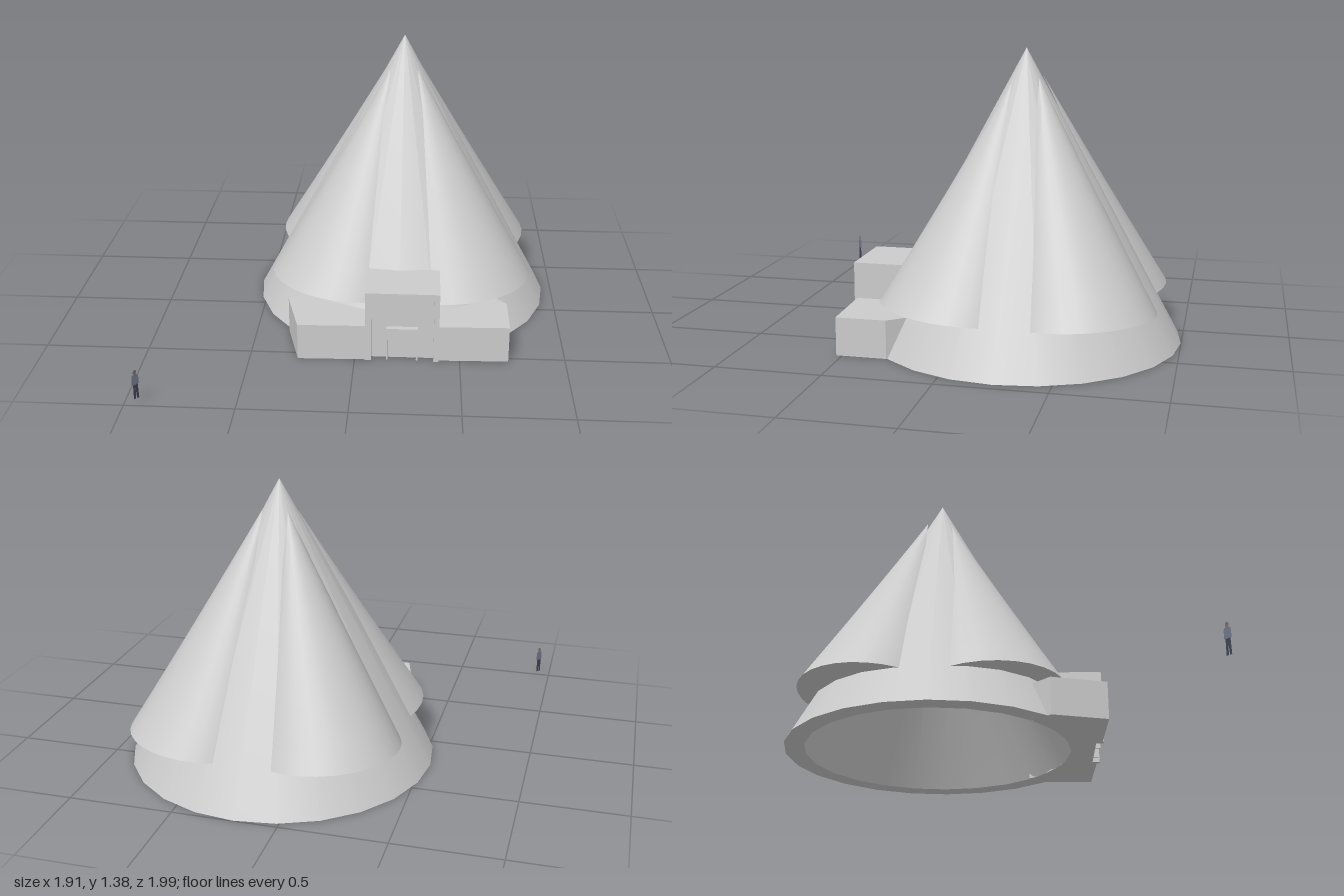
import * as THREE from 'three';
import { toCreasedNormals } from 'three/addons/utils/BufferGeometryUtils.js';

const CX = 0.205, CZ = -0.25; // centre of the big cone
const grey = new THREE.MeshStandardMaterial({ color: 0xcccccc, side: THREE.DoubleSide });

function add(parent, name, geometry, material = grey) {
  const mesh = new THREE.Mesh(geometry, material);
  mesh.name = name;
  parent.add(mesh);
  return mesh;
}

function shapeOf(points) {
  return new THREE.Shape(points.map(([x, y]) => new THREE.Vector2(x, y)));
}

function extrude(points, depth) {
  return new THREE.ExtrudeGeometry(shapeOf(points), { depth, bevelEnabled: false });
}

// Inverted U (doorway surround) standing on the ground
function archway(x0, x1, top, inX0, inX1, inTop, depth) {
  return extrude([[x0, 0], [inX0, 0], [inX0, inTop], [inX1, inTop], [inX1, 0], [x1, 0], [x1, top], [x0, top]], depth);
}

// Outer part of a cone leaning out along a diagonal, with a slightly raised
// rim; its hidden edges end inside the thickness of the main shell
function leaningCone(sx, sz) {
  const { lerp, degToRad } = THREE.MathUtils;
  const front = sz > 0;
  const radius = front ? 0.395 : 0.365;
  const base = front ? [0.26, 0.235] : [0.29, 0.29];
  const apex = front ? [0.07, 0.06] : [0.062, 0.072];
  const rimY = 0.188, apexY = front ? 1.22 : 1.245;
  const geo = new THREE.ConeGeometry(radius, 1, 14, 8, false, Math.atan2(sx, sz) - degToRad(80), degToRad(160));
  const pos = geo.attributes.position;
  for (let i = 0; i < pos.count; i++) {
    const t = pos.getY(i) + 0.5; // 0 at the rim, 1 at the apex
    const shiftX = sx * lerp(base[0], apex[0], t), shiftZ = sz * lerp(base[1], apex[1], t);
    let x = pos.getX(i), z = pos.getZ(i);
    // underside hub moves out to the main shell
    if (t < 0.01 && Math.hypot(x, z) < 0.001) {
      x = 0.424 * sx - shiftX;
      z = 0.424 * sz - shiftZ;
    }
    const rise = 0.1 * (x * sx + z * sz) / Math.SQRT2;
    pos.setXYZ(i, x + shiftX, lerp(rimY, apexY, t) + rise * (1 - t), z + shiftZ);
  }
  return toCreasedNormals(geo, 0.7);
}

// Side wing: flat-roofed block whose back follows the cone
function wing(frontPoints, fromDeg, toDeg) {
  const pts = frontPoints.map(([x, z]) => [x, -z]);
  for (let i = 0; i <= 8; i++) {
    const a = THREE.MathUtils.degToRad(THREE.MathUtils.lerp(fromDeg, toDeg, i / 8));
    pts.push([CX + 0.645 * Math.cos(a), -(CZ + 0.645 * Math.sin(a))]);
  }
  return extrude(pts, 0.18).rotateX(-Math.PI / 2);
}

export function createModel() {
  const model = new THREE.Group();
  model.name = 'coneBuilding';

  // Hollow main cone and the four cones layered over it
  const cone = new THREE.Group();
  cone.name = 'coneRoof';
  cone.position.set(CX, 0, CZ);
  model.add(cone);
  const profile = [[0.001, 1.22], [0.65, 0], [0.748, 0], [0.001, 1.38]];
  const shell = new THREE.LatheGeometry(profile.map(([r, y]) => new THREE.Vector2(r, y)), 24);
  add(cone, 'mainCone', toCreasedNormals(shell, 0.7));
  for (const sx of [-1, 1]) {
    for (const sz of [-1, 1]) {
      add(cone, `${sz > 0 ? 'front' : 'back'}${sx > 0 ? 'Left' : 'Right'}Cone`, leaningCone(sx, sz));
    }
  }

  // Entrance building
  const entrance = new THREE.Group();
  entrance.name = 'entrance';
  model.add(entrance);
  add(entrance, 'rightWing', wing([[0.05, 0.545], [-0.27, 0.553], [-0.34, 0.29]], 135, 103.9));
  add(entrance, 'leftWing', wing([[0.73, 0.528], [0.4, 0.537]], 72.4, 45).translate(0, 0, 0));
  const leftReturn = extrude([[0.73, -0.528], [0.73, -0.29], [0.655, -0.2], [0.6, -0.3]], 0.18);
  add(entrance, 'leftWingReturn', leftReturn.rotateX(-Math.PI / 2));

  // Tower: side profile drawn as (z, y) and swept across x
  const tower = extrude([[-0.515, 0], [-0.43, 0], [-0.255, 0.355], [-0.515, 0.355]], 0.35);
  add(entrance, 'tower', tower.rotateY(Math.PI / 2).translate(0.05, 0, 0));
  add(entrance, 'towerFrame', archway(0.05, 0.4, 0.355, 0.08, 0.375, 0.335, 0.035)).position.z = 0.515;
  add(entrance, 'doorSurround', archway(0.15, 0.3, 0.165, 0.158, 0.292, 0.115, 0.025)).position.z = 0.515;

  // Flat standing figure for scale
  const figure = new THREE.Group();
  figure.name = 'scaleFigure';
  figure.position.set(-0.942, 0.028, 0.983);
  figure.rotation.y = Math.PI / 4;
  model.add(figure);
  const paint = (color) => new THREE.MeshStandardMaterial({ color, side: THREE.DoubleSide });
  add(figure, 'trousers', new THREE.ShapeGeometry(shapeOf([
    [-0.013, 0], [-0.003, 0], [0, 0.05], [0.003, 0], [0.014, 0], [0.012, 0.072], [-0.012, 0.072],
  ])), paint(0x3c4050));
  add(figure, 'shirt', new THREE.ShapeGeometry(shapeOf([
    [-0.012, 0.068], [0.012, 0.068], [0.018, 0.075], [0.017, 0.115], [0.006, 0.123],
    [-0.006, 0.123], [-0.017, 0.115], [-0.018, 0.075],
  ])), paint(0x70758a));
  add(figure, 'head', new THREE.CircleGeometry(0.01, 12).scale(0.9, 1.25, 1), paint(0x7a6a65)).position.y = 0.132;

  return model;
}
